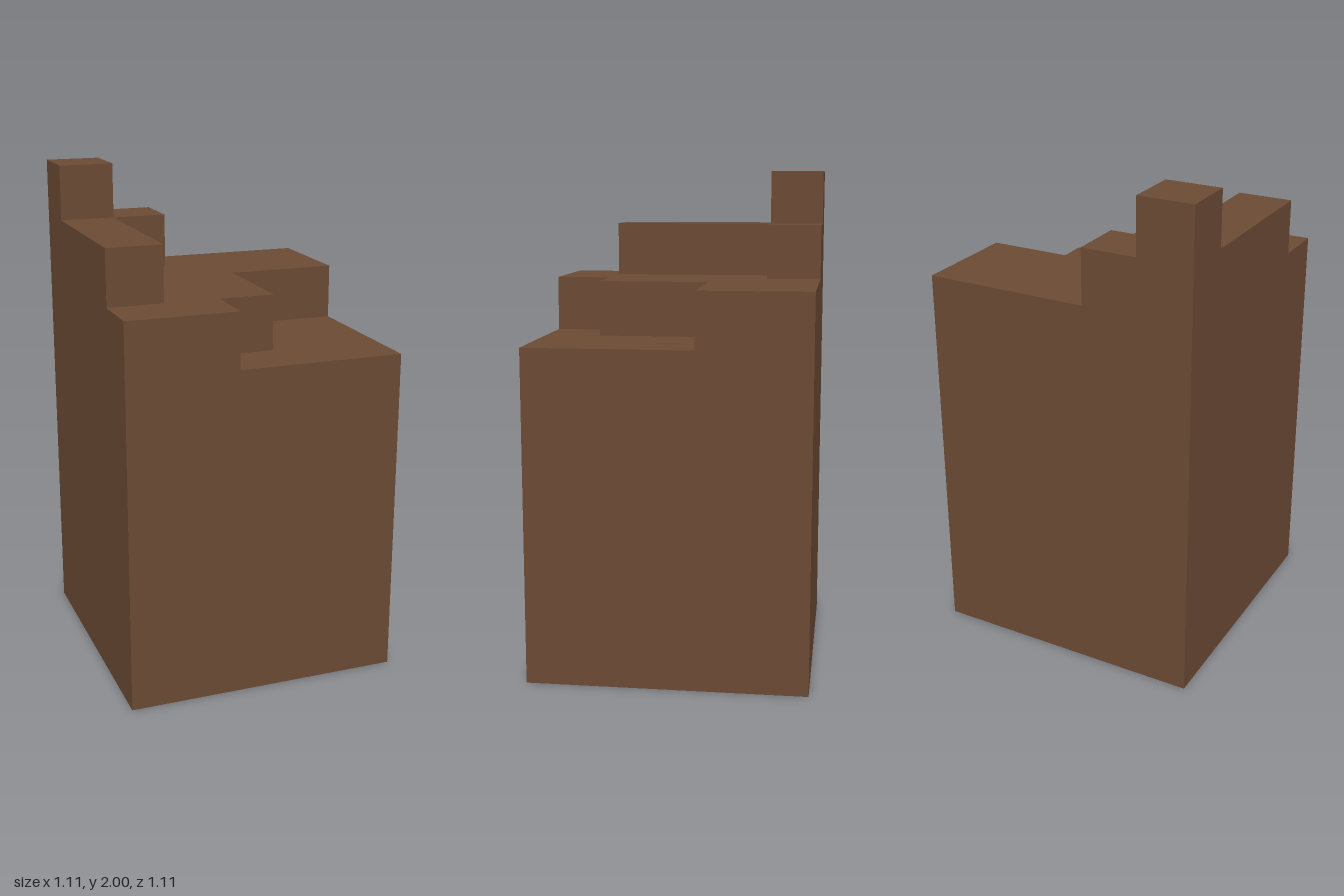
import * as THREE from 'three';

const U = 2 / 9; // one block
const H = 2.5; // half the footprint, in blocks

export function createModel() {
  const group = new THREE.Group();
  const earth = new THREE.MeshStandardMaterial({ color: 0x6b4a34 });
  earth.name = 'earthBrown';

  // Extrudes a footprint of [column, row] corners (from back right corner) upward
  const layer = (name, outline, bottom, height) => {
    const shape = new THREE.Shape(
      outline.map(([c, r]) => new THREE.Vector2((c - H) * U, (H - r) * U))
    );
    const geo = new THREE.ExtrudeGeometry(shape, { depth: height * U, bevelEnabled: false });
    geo.rotateX(-Math.PI / 2);
    geo.translate(0, bottom * U, 0);
    const mesh = new THREE.Mesh(geo, earth);
    mesh.name = name;
    group.add(mesh);
  };

  // Solid square pillar
  layer('pillarBase', [[0, 0], [0, 5], [5, 5], [5, 0]], 0, 6);
  // Top course, broken away in steps at the front left corner
  layer('brokenCourse', [[0, 0], [0, 5], [2, 5], [2, 4], [3, 4], [3, 2], [5, 2], [5, 0]], 6, 1);
  // Ridge along the right side, turning the back corner
  layer('cornerRidge', [[0, 0], [0, 4], [1, 4], [1, 1], [2, 1], [2, 0]], 7, 1);
  // Single block on the back corner
  layer('peakBlock', [[0, 0], [0, 1], [1, 1], [1, 0]], 8, 1);

  return group;
}
